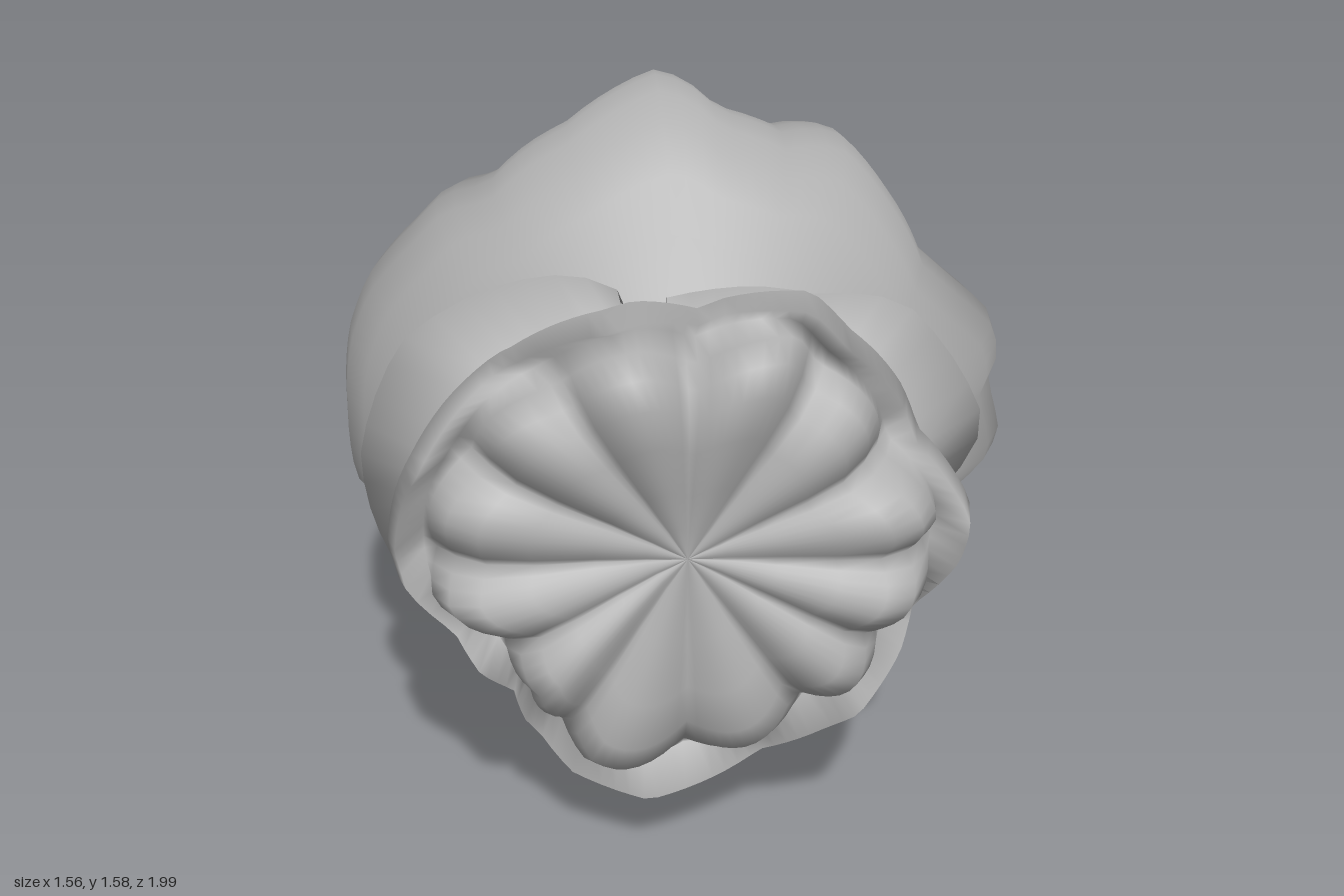
import * as THREE from 'three';

const TAU = Math.PI * 2;
const stone = new THREE.MeshStandardMaterial({ color: 0xb0b0b0, side: THREE.DoubleSide });
stone.name = 'stone grey';

// Radius as a function of angle, from a closed outline of x, y pairs around a centre
function polar(flat, cx, cy) {
  const p = [];
  for (let i = 0; i < flat.length; i += 2) {
    const x = flat[i] - cx, y = flat[i + 1] - cy;
    p.push([(Math.atan2(y, x) + TAU) % TAU, Math.hypot(x, y)]);
  }
  p.sort((a, b) => a[0] - b[0]);
  const first = p[0], last = p[p.length - 1];
  p.unshift([last[0] - TAU, last[1]]);
  p.push([first[0] + TAU, first[1]]);
  return (angle) => {
    const a = ((angle % TAU) + TAU) % TAU;
    let i = 0;
    while (i < p.length - 2 && p[i + 1][0] < a) i++;
    const t = (a - p[i][0]) / (p[i + 1][0] - p[i][0] || 1);
    return p[i][1] + (p[i + 1][1] - p[i][1]) * t;
  };
}

// Smooth sheet over a grid; point(row, u) returns [x, y, z]
function sheet(name, rows, cols, point, closed) {
  const pos = [], index = [], n = closed ? cols : cols + 1;
  for (let i = 0; i < rows; i++)
    for (let j = 0; j < n; j++) pos.push(...point(i, j / cols));
  for (let i = 0; i < rows - 1; i++)
    for (let j = 0; j < cols; j++) {
      const a = i * n + j, b = i * n + ((j + 1) % n), c = a + n, d = b + n;
      index.push(a, b, c, b, d, c);
    }
  const g = new THREE.BufferGeometry();
  g.setAttribute('position', new THREE.Float32BufferAttribute(pos, 3));
  g.setIndex(index);
  g.computeVertexNormals();
  const mesh = new THREE.Mesh(g, stone);
  mesh.name = name;
  return mesh;
}

const bodyRadius = polar([
  -0.05, 1.58, 0.02, 1.56, 0.1, 1.49, 0.24, 1.44, 0.32, 1.45, 0.38, 1.43, 0.48, 1.31,
  0.57, 1.15, 0.65, 1.08, 0.75, 0.99, 0.76, 0.92, 0.74, 0.86, 0.78, 0.71, 0.67, 0.59,
  0.69, 0.52, 0.62, 0.37, 0.58, 0.24, 0.53, 0.17, 0.21, 0.06, 0.09, 0.08, -0.07, 0,
  -0.25, 0.04, -0.4, 0.11, -0.46, 0.11, -0.52, 0.2, -0.65, 0.35, -0.69, 0.46, -0.69, 0.57,
  -0.77, 0.65, -0.78, 0.82, -0.76, 1, -0.71, 1.12, -0.6, 1.24, -0.53, 1.31, -0.43, 1.33,
  -0.34, 1.41, -0.25, 1.46], 0, 0.78);

const rimRadius = polar([
  -0.64, 0.77, -0.61, 0.92, -0.5, 1.1, -0.37, 1.2, -0.13, 1.3, 0, 1.27, 0.22, 1.31,
  0.3, 1.23, 0.41, 1.1, 0.45, 1, 0.56, 0.85, 0.55, 0.73, 0.47, 0.6, 0.44, 0.5, 0.38, 0.42,
  0.28, 0.33, 0.05, 0.2, -0.1, 0.18, -0.28, 0.22, -0.38, 0.35, -0.4, 0.45, -0.52, 0.6,
  -0.62, 0.68], -0.03, 0.78);

const collarRadius = polar([
  -0.7, 0.9, -0.6, 1.15, -0.24, 1.28, -0.1, 1.22, 0.05, 1.25, 0.25, 1.22, 0.45, 1.2,
  0.63, 0.93, 0.52, 0.72, 0.45, 0.6, 0.4, 0.35, 0.2, 0.28, 0.05, 0.2, -0.25, 0.19,
  -0.42, 0.38, -0.58, 0.5], -0.03, 0.76);

export function createModel() {
  const group = new THREE.Group();

  // Round body with an irregular outline: z, scale, share of the bumps
  const profile = [[-0.485, 0, 0], [-0.48, 0.12, 0], [-0.463, 0.26, 0.1], [-0.425, 0.44, 0.3],
    [-0.365, 0.6, 0.5], [-0.28, 0.745, 0.7], [-0.18, 0.86, 0.9], [-0.07, 0.945, 1],
    [0.04, 0.985, 1], [0.13, 1, 1], [0.23, 0.985, 1], [0.33, 0.925, 1],
    [0.41, 0.83, 0.8], [0.48, 0.7, 0.5], [0.53, 0.57, 0.2], [0.58, 0.5, 0]];
  const buildBody = (bumpiness) => sheet('body', profile.length, 108, (i, u) => {
    const [z, k, bump] = profile[i], a = u * TAU;
    const r = k * (0.75 + (bodyRadius(a) - 0.75) * bump * bumpiness);
    return [Math.cos(a) * r, 0.78 + Math.sin(a) * r, z];
  }, true);
  // The bumps are shaded softly, with the normals of the plain round form
  const body = buildBody(1);
  body.geometry.setAttribute('normal', buildBody(0).geometry.getAttribute('normal'));
  group.add(body);

  // Blossom: flared cup, then pleated petals with a shallow middle: z, scale, waviness, pleat
  const head = [[0.58, 0.66, 0, 0], [0.65, 0.77, 0, 0], [0.74, 0.93, 0.2, 0], [0.79, 1, 0.5, 0],
    [0.86, 0.97, 1, 0], [0.79, 0.89, 0.3, 0.01], [0.88, 0.88, 0, 0.05], [0.94, 0.82, 0, 0.06],
    [0.965, 0.71, 0, 0.05], [0.955, 0.54, 0, 0.035], [0.93, 0.32, 0, 0.02],
    [0.91, 0.14, 0, 0.005], [0.905, 0, 0, 0]];
  group.add(sheet('blossomHead', head.length, 120, (i, u) => {
    const [z, k, wave, pleat] = head[i], a = u * TAU;
    const fold = 1 - Math.abs(Math.sin(a * 6 + 0.4 * Math.sin(a * 2)));
    const r = k * rimRadius(a) - pleat * fold * 0.6;
    const ripple = wave * 0.03 * Math.asin(Math.sin(a * 7 + 1));
    const lift = pleat * 0.5 * Math.sin(a * 3 + 2.5);
    return [-0.03 + Math.cos(a) * r, 0.78 + Math.sin(a) * r, z + ripple + lift - pleat * fold];
  }, true));

  // Pointed collar, open for a short stretch at the top
  const collar = [[0.49, 0.82], [0.6, 1], [0.68, 0.78]];
  group.add(sheet('collar', collar.length, 60, (i, u) => {
    const [z, k] = collar[i], a = 1.82 + u * (TAU - 0.2);
    const r = k * collarRadius(a);
    return [-0.03 + Math.cos(a) * r, 0.76 + Math.sin(a) * r, z + 0.02 * Math.sin(a * 5)];
  }, false));

  // Three curved petals tapering to points at the back
  const tail = [
    ['upperTailPetal', 1.7, [-0.09, 0.86, -0.91]],
    ['rightTailPetal', 3.75, [-0.11, 0.69, -1.0]],
    ['leftTailPetal', 5.85, [0.07, 0.75, -0.96]]];
  for (const [name, mid, tip] of tail) {
    group.add(sheet(name, 9, 16, (i, u) => {
      const t = 1 - i / 8, s = 1 - t, a = mid + (u - 0.5) * 2.4;
      const r = 0.3 * s + 0.025 * Math.sin(t * Math.PI);
      return [
        -0.045 * s + tip[0] * t + Math.cos(a) * r,
        0.76 * s + tip[1] * t + Math.sin(a) * r,
        -0.42 * s + tip[2] * t];
    }, false));
  }
  return group;
}
